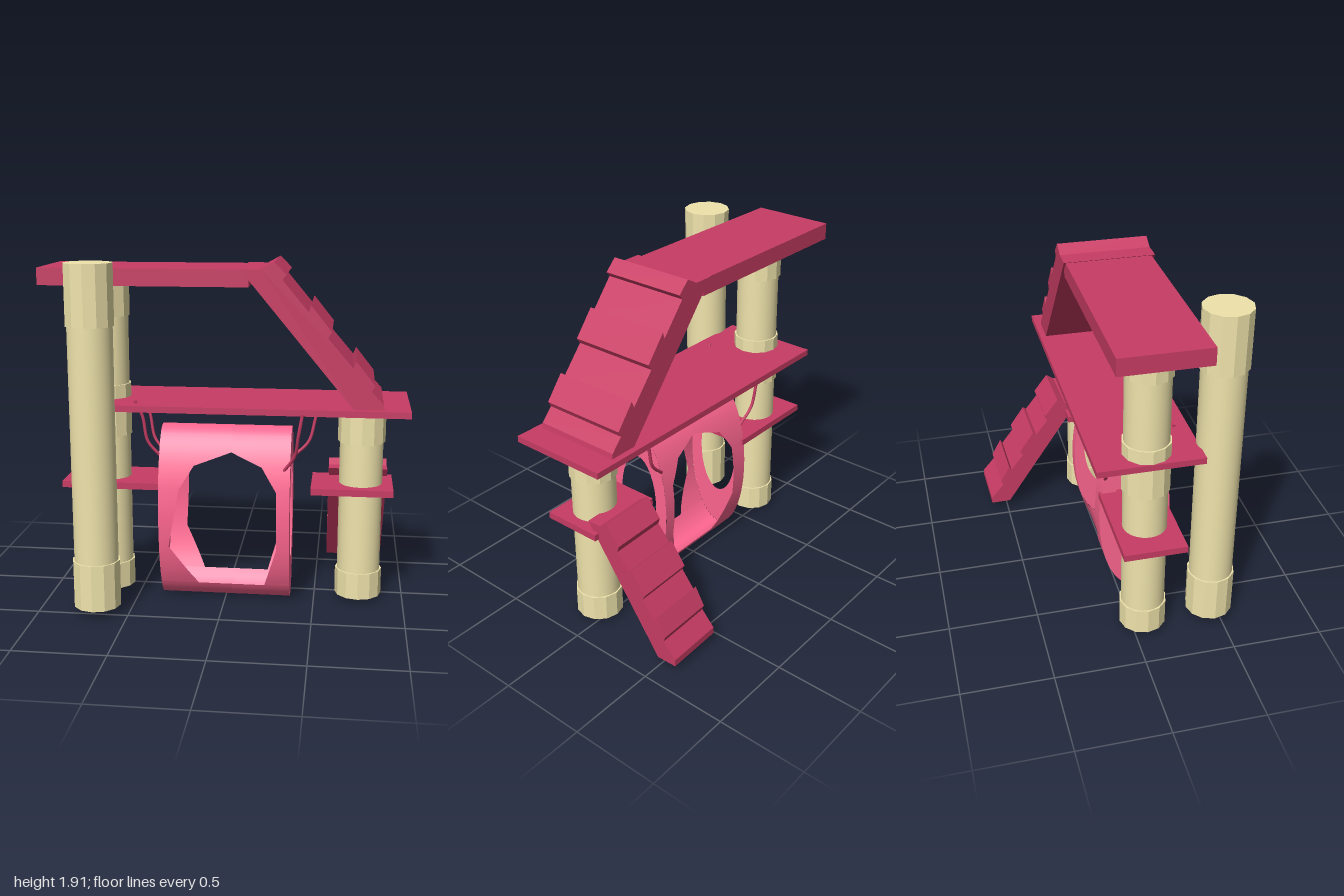
import * as THREE from 'three';

const red = new THREE.MeshStandardMaterial({ color: 0xc83c64, flatShading: true });
const rope = new THREE.MeshStandardMaterial({ color: 0xc83c64 });
const cream = new THREE.MeshStandardMaterial({ color: 0xf0e4ac });
const creamFlat = new THREE.MeshStandardMaterial({ color: 0xf0e4ac, flatShading: true });
const pink = new THREE.MeshStandardMaterial({ color: 0xff6690, side: THREE.DoubleSide });

function add(parent, name, geometry, material) {
  const mesh = new THREE.Mesh(geometry, material);
  mesh.name = name;
  parent.add(mesh);
  return mesh;
}

// Flat board given by its extents
function board(parent, name, x0, x1, y0, y1, z0, z1) {
  const m = add(parent, name, new THREE.BoxGeometry(x1 - x0, y1 - y0, z1 - z0), red);
  m.position.set((x0 + x1) / 2, (y0 + y1) / 2, (z0 + z1) / 2);
}

// Round post with twelve-sided sleeves
function post(parent, name, x, z, y0, y1, sleeves) {
  const g = new THREE.Group();
  g.name = name;
  g.position.set(x, 0, z);
  const h = y1 - y0 - 0.01;
  add(g, 'shaft', new THREE.CylinderGeometry(0.12, 0.12, h, 28), cream).position.y = (y0 + y1) / 2;
  for (const [a, b] of sleeves) {
    add(g, 'sleeve', new THREE.CylinderGeometry(0.131, 0.131, b - a, 12), creamFlat).position.y = (a + b) / 2;
  }
  parent.add(g);
}

// Ramp with overlapping slats: side profile, extruded to its width
function rampGeometry(profile, width) {
  const shape = new THREE.Shape(profile.map(p => new THREE.Vector2(...p)));
  return new THREE.ExtrudeGeometry(shape, { depth: width, bevelEnabled: false });
}

// Oval tunnel: cross-section centre and half axes
const CY = 0.5025, CZ = 0.1, RY = 0.4975, RZ = 0.205, X0 = -0.36, X1 = 0.365;

// One curved wall; each row is [y, left edge of the opening, right edge]
function tunnelWall(rows, side) {
  const fine = [];
  for (let i = 0; i < rows.length - 1; i++) {
    const steps = 5;
    for (let k = 0; k < steps; k++) {
      fine.push(rows[i].map((v, j) => THREE.MathUtils.lerp(v, rows[i + 1][j], k / steps)));
    }
  }
  fine.push(rows[rows.length - 1]);
  const pos = [], index = [];
  for (const [y, l, r] of fine) {
    const t = (y - CY) / RY;
    const z = CZ + side * RZ * Math.sqrt(Math.max(0, 1 - t * t));
    for (const x of [X0, l, r, X1]) pos.push(x, y, z);
  }
  for (let i = 0; i < fine.length - 1; i++) {
    for (const c of [0, 2]) {
      const a = i * 4 + c, b = a + 1, d = a + 4, e = a + 5;
      if (side > 0) index.push(a, b, e, a, e, d);
      else index.push(a, e, b, a, d, e);
    }
  }
  const g = new THREE.BufferGeometry();
  g.setAttribute('position', new THREE.Float32BufferAttribute(pos, 3));
  g.setIndex(index);
  g.computeVertexNormals();
  return g;
}

export function createModel() {
  const model = new THREE.Group();
  model.name = 'climbingPlayhouse';

  // Boards
  board(model, 'topShelf', -1, 0.135, 1.78, 1.873, -0.18, 0.29);
  board(model, 'mainPlatform', -0.81, 1, 1.11, 1.145, -0.225, 0.345);
  board(model, 'leftStep', -0.915, -0.34, 0.645, 0.682, -0.105, 0.235);
  board(model, 'rightStep', 0.475, 0.925, 0.645, 0.682, -0.105, 0.235);

  // Posts
  post(model, 'frontPost', -0.677, 0.453, 0.05, 1.915, [[0.05, 0.31], [1.59, 1.915]]);
  post(model, 'backLeftPost', -0.677, 0.065, 0.03, 1.79, [[0.03, 0.18], [0.93, 1.22], [1.6, 1.785]]);
  post(model, 'rightPost', 0.748, 0.065, 0.03, 1.12, [[0.03, 0.18], [0.92, 1.115]]);

  // Ramps
  const upper = rampGeometry([
    [0.70, 1.142], [0.86, 1.142], [0.855, 1.174], [0.79, 1.244], [0.807, 1.276], [0.705, 1.405],
    [0.689, 1.367], [0.555, 1.523], [0.576, 1.555], [0.464, 1.694], [0.453, 1.657], [0.314, 1.823],
    [0.335, 1.85], [0.27, 1.914], [0.2, 1.876], [0.09, 1.876]], 0.5);
  add(model, 'upperRamp', upper, red).position.z = -0.19;

  const lower = rampGeometry([
    [-0.013, 0.731], [-0.094, 0.731], [-0.14, 0.761], [-0.22, 0.655], [-0.21, 0.62], [-0.282, 0.528],
    [-0.302, 0.543], [-0.388, 0.42], [-0.373, 0.39], [-0.45, 0.29], [-0.464, 0.315], [-0.52, 0.213],
    [-0.51, 0.183], [-0.586, 0.096], [-0.586, 0.056], [-0.47, 0.056]], 0.33);
  lower.rotateY(-Math.PI / 2).translate(0.9, 0, 0).rotateY(0.025);
  add(model, 'lowerRamp', lower, red);

  // Hanging tunnel: front and back walls with openings, oval end rings
  const tunnel = new THREE.Group();
  tunnel.name = 'tunnel';
  model.add(tunnel);
  for (const side of [1, -1]) {
    const rows = [
      [0.005, 0.04, 0.04], [0.03, 0.04, 0.04], [0.105, 0.04, 0.04], [0.105, -0.145, 0.225],
      [0.34, side > 0 ? -0.305 : -0.26, 0.295], [0.67, -0.245, 0.29], [0.8, -0.165, 0.21],
      [0.875, 0.04, 0.04], [0.96, 0.04, 0.04], [0.99, 0.04, 0.04], [1, 0.04, 0.04]];
    add(tunnel, side > 0 ? 'frontWall' : 'backWall', tunnelWall(rows, side), pink);
  }
  const ring = new THREE.Shape().absellipse(0, 0, RZ, RY, 0, Math.PI * 2);
  ring.holes.push(new THREE.Path().absellipse(0, 0.03, 0.13, 0.29, 0, Math.PI * 2));
  for (const [x, turn] of [[X0, -1], [X1, 1]]) {
    const end = add(tunnel, 'endRing', new THREE.ShapeGeometry(ring, 16), pink);
    end.position.set(x, CY, CZ);
    end.rotation.y = turn * Math.PI / 2;
  }

  // Ropes that hang the tunnel from the platform
  const ropes = [
    [[-0.485, 1.16, 0.27], [-0.445, 1.07, 0.26], [-0.42, 0.93, 0.25], [-0.35, 0.84, 0.235]],
    [[-0.505, 1.12, -0.1], [-0.47, 1.0, -0.095], [-0.44, 0.86, -0.085], [-0.35, 0.77, -0.07]],
    [[0.43, 1.12, 0.345], [0.41, 1.0, 0.34], [0.39, 0.88, 0.3], [0.33, 0.785, 0.26]],
    [[0.515, 1.12, -0.1], [0.485, 1.0, -0.095], [0.45, 0.87, -0.085], [0.36, 0.78, -0.07]]];
  for (const pts of ropes) {
    const curve = new THREE.CatmullRomCurve3(pts.map(p => new THREE.Vector3(...p)));
    add(model, 'rope', new THREE.TubeGeometry(curve, 16, 0.009, 8), rope);
  }
  return model;
}
